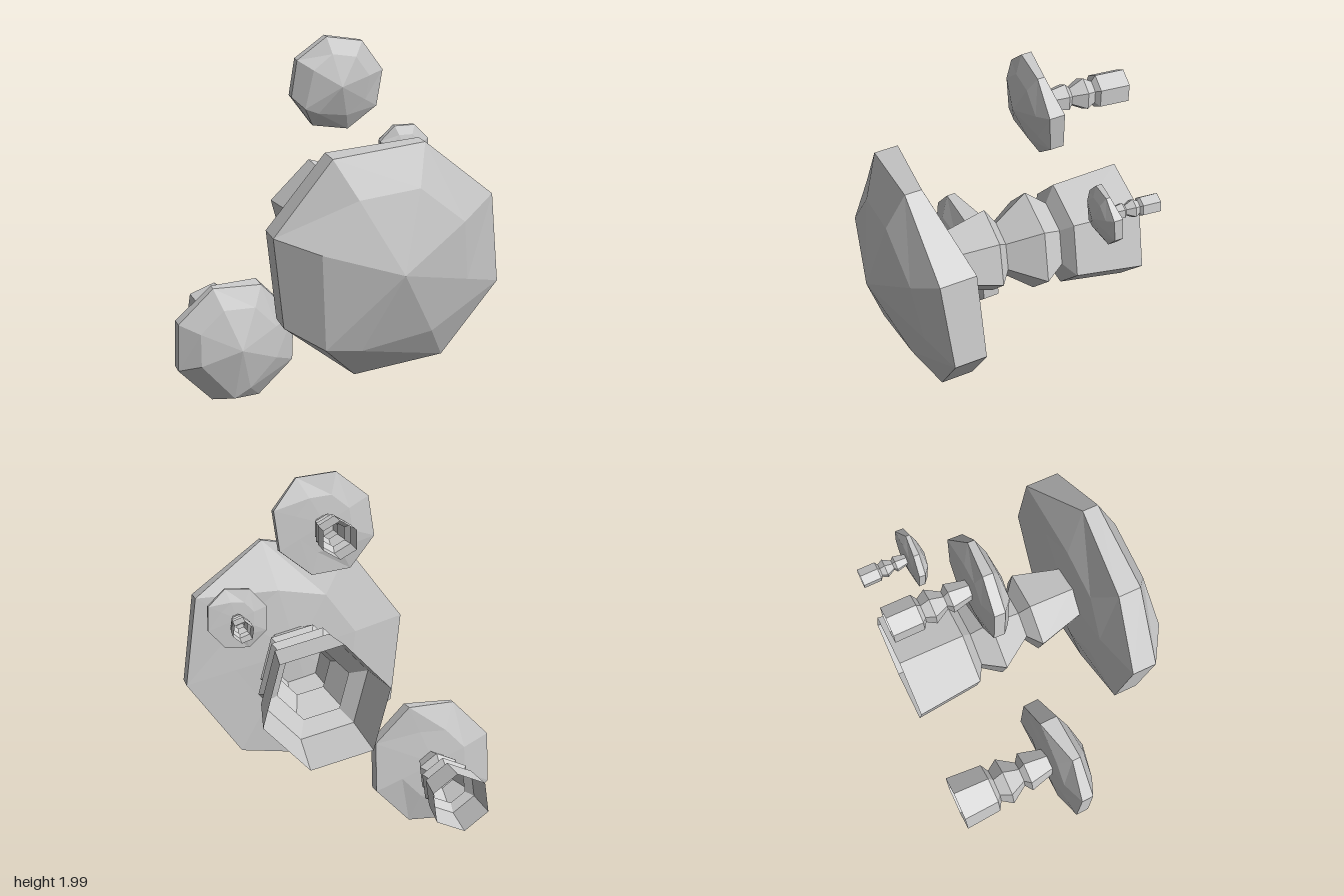
import * as THREE from 'three';

const RAD = Math.PI / 180;
const BACK_Z = -0.733; // all stems are cut off flat on this plane

const capMaterial = new THREE.MeshStandardMaterial({ color: 0xcccccc, flatShading: true });
const stemMaterial = new THREE.MeshStandardMaterial({
  color: 0xcccccc, flatShading: true, side: THREE.DoubleSide,
});

// Unevenness of the cap, corner by corner: rear rim height, dome ring [radius, angle, height]
const RIM = [-0.033, -0.054, 0.05, 0.01, 0, 0, 0.03, -0.034];
const DOME = [
  [0.43, 0, 0.22], [0.43, 45, 0.24], [0.43, 90, 0.25], [0.43, 135, 0.25],
  [0.43, 180, 0.29], [0.56, 243, 0.27], [0.47, 262, 0.28], [0.43, 315, 0.25],
];

// Faceted body of revolution about z
function turned(profile, sides) {
  const points = profile.map(([r, h]) => new THREE.Vector2(r, h));
  const geometry = new THREE.LatheGeometry(points, sides);
  geometry.rotateX(Math.PI / 2);
  geometry.rotateZ(Math.PI / 2); // first corner on +x
  return geometry;
}

// Eight-sided cap: shallow underside, straight rim, low dome, all slightly uneven
function capGeometry() {
  const profile = [[0, -0.06], [0.36, -0.045], [0.65, 0], [0.65, 0.14], [0.43, 0.25], [0, 0.38]];
  const geometry = turned(profile, 8);
  const position = geometry.attributes.position;
  for (let i = 0; i <= 8; i++) {
    const first = i * profile.length;
    const [r, angle, h] = DOME[i % 8];
    position.setZ(first + 2, RIM[i % 8]);
    position.setXYZ(first + 4, r * Math.cos(angle * RAD), r * Math.sin(angle * RAD), h);
  }
  return geometry;
}

// Six-sided stem with flared collars, open at the back: [radius, offset behind the cap]
function stemGeometry(size, width, flare, z) {
  const rings = [
    [0.293, -0.715], [0.197, -0.665], [0.285, -0.55],
    [0.15, -0.37], [0.24, -0.31], [0.165, -0.06], [0.16, -0.03],
  ].map(([r, h]) => [r * size * width, h * size]);
  return turned([[flare * size * width, BACK_Z - z], ...rings], 6);
}

function createMushroom({ name, x, y, z, radius, width, flare, turn, tiltX, tiltY }) {
  const size = radius / 0.65;
  const mushroom = new THREE.Group();
  mushroom.name = name;
  mushroom.position.set(x, y, z);

  // Cap leans a little on its stem
  const cap = new THREE.Mesh(capGeometry(), capMaterial);
  cap.name = 'cap';
  cap.scale.setScalar(size);
  cap.rotation.set(tiltX, tiltY, turn * RAD);

  // Stem sits slightly below the middle of the cap
  const stem = new THREE.Mesh(stemGeometry(size, width, flare, z), stemMaterial);
  stem.name = 'stem';
  stem.position.set(0.008 * size, -0.012 * size, 0);
  stem.rotation.z = turn * RAD;

  mushroom.add(cap, stem);
  return mushroom;
}

export function createModel() {
  const model = new THREE.Group();
  model.name = 'mushroomCluster';
  const mushrooms = [
    { name: 'largeMushroom', x: 0.2, y: 0.905, z: 0.35, radius: 0.65, width: 1, flare: 0.333, turn: -15, tiltX: 0.095, tiltY: 0.025 },
    { name: 'lowerMushroom', x: -0.495, y: 0.346, z: -0.13, radius: 0.355, width: 0.9, flare: 0.325, turn: 22, tiltX: 0.085, tiltY: 0.05 },
    { name: 'upperMushroom', x: 0.14, y: 1.738, z: -0.275, radius: 0.271, width: 0.77, flare: 0.295, turn: -30, tiltX: 0.105, tiltY: 0 },
    { name: 'smallMushroom', x: 0.615, y: 1.303, z: -0.458, radius: 0.16, width: 0.75, flare: 0.295, turn: -21, tiltX: 0.09, tiltY: 0 },
  ];
  mushrooms.forEach((m) => model.add(createMushroom(m)));
  return model;
}
